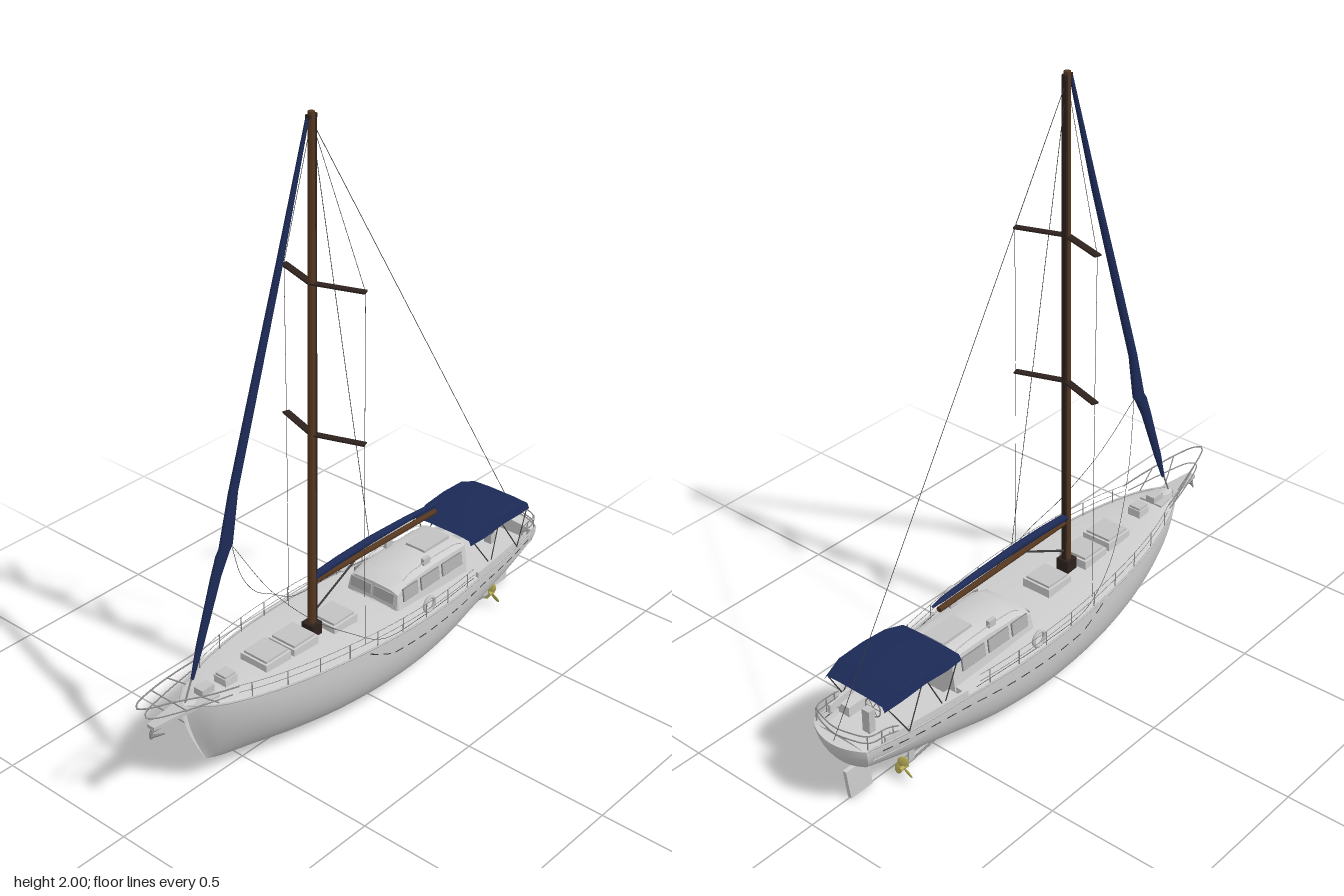
import * as THREE from 'three';
import { toCreasedNormals } from 'three/addons/utils/BufferGeometryUtils.js';

const V = (x, y, z) => new THREE.Vector3(x, y, z);
const mat = (name, color) => {
  const m = new THREE.MeshStandardMaterial({ color, side: THREE.DoubleSide });
  m.name = name;
  return m;
};

export function createModel() {
  const boat = new THREE.Group();
  boat.name = 'sailboat';
  const paint = mat('light grey paint', 0xcecece);
  const trim = mat('pale grey trim', 0xc2c2c2);
  const glass = mat('grey glass', 0xb0b0b0);
  const metal = mat('dull metal', 0x8c8c8c);
  const rope = mat('dark rope', 0x3c3c3c);
  const navy = mat('navy canvas', 0x1c2a56);
  const wood = mat('brown wood', 0x55371f);
  const dark = mat('dark wood', 0x2d221d);
  const brass = mat('brass', 0xb8ae58);

  const add = (name, geo, m, parent = boat) => {
    const mesh = new THREE.Mesh(geo, m);
    mesh.name = name;
    parent.add(mesh);
    return mesh;
  };
  const group = (name) => {
    const g = new THREE.Group();
    g.name = name;
    boat.add(g);
    return g;
  };
  const box = (name, m, w, h, d, x, y, z, parent) => {
    const b = add(name, new THREE.BoxGeometry(w, h, d), m, parent);
    b.position.set(x, y, z);
    return b;
  };
  // Straight round bars through a list of points
  const rod = (name, pts, r, m, parent, r2 = r, sides = 6) => {
    for (let i = 0; i < pts.length - 1; i++) {
      const d = pts[i + 1].clone().sub(pts[i]);
      const c = add(name, new THREE.CylinderGeometry(r2, r, d.length(), sides), m, parent);
      c.position.copy(pts[i]).addScaledVector(d, 0.5);
      c.quaternion.setFromUnitVectors(V(0, 1, 0), d.normalize());
    }
  };
  const pipe = (name, pts, r, m, parent) =>
    add(name, new THREE.TubeGeometry(new THREE.CatmullRomCurve3(pts), 40, r, 5), m, parent);
  // Surface through equal rows of points
  const grid = (rows, flip = false, crease = 0) => {
    const n = rows[0].length, idx = [];
    for (let i = 0; i < rows.length - 1; i++) for (let j = 0; j < n - 1; j++) {
      const a = i * n + j, b = a + n, c = a + 1, d = b + 1;
      idx.push(...(flip ? [a, c, b, b, c, d] : [a, b, c, b, d, c]));
    }
    const g = new THREE.BufferGeometry().setFromPoints(rows.flat());
    g.setIndex(idx);
    g.computeVertexNormals();
    return crease ? toCreasedNormals(g, crease) : g;
  };
  const both = (fn) => [1, -1].forEach(fn);

  // Hull stations: sheer x, y, half beam, then keel x, y, fullness
  const stations = [
    [-.74, .332, .012, -.655, .085, 1.5], [-.68, .325, .064, -.6, .065, 1.6],
    [-.55, .315, .12, -.47, .045, 1.9], [-.35, .302, .168, -.31, .028, 2.2],
    [-.1, .285, .196, -.1, .017, 2.5], [.12, .27, .2, .12, .014, 2.6],
    [.32, .258, .187, .32, .025, 2.5], [.5, .25, .164, .5, .055, 2.3],
    [.7, .243, .138, .68, .095, 2.2], [.87, .25, .11, .83, .135, 2.3]];
  const sheer = new THREE.CatmullRomCurve3(stations.map((s) => V(s[0], s[1], s[2])));
  const keel = new THREE.CatmullRomCurve3(stations.map((s) => V(s[3], s[4], s[5])));
  // Hull point at station t; a runs from -PI/2 to PI/2 across the section
  const hullPoint = (t, a) => {
    const s = sheer.getPoint(t), k = keel.getPoint(t), p = 2 / k.z;
    const up = Math.pow(Math.max(0, Math.cos(a)), p);
    return V(s.x + (k.x - s.x) * Math.pow(up, 1.6), s.y + (k.y - s.y) * up,
      Math.sign(a) * s.z * Math.pow(Math.abs(Math.sin(a)), p));
  };
  const tAt = (x) => {
    let lo = 0, hi = 1;
    for (let i = 0; i < 25; i++) sheer.getPoint((lo + hi) / 2).x < x ? lo = (lo + hi) / 2 : hi = (lo + hi) / 2;
    return lo;
  };
  const edge = (x, side, lift = 0, inset = .006) => {
    const p = sheer.getPoint(tAt(x));
    return V(p.x, p.y + lift, side * (p.z - inset));
  };
  const span = (n, f) => Array.from({ length: n + 1 }, (_, i) => f(i / n));
  add('hull', grid(span(54, (t) => span(32, (u) => hullPoint(t, (0.5 - u) * Math.PI))), true), paint);
  // Rounded transom
  add('transom', grid(span(12, (v) => {
    const p = hullPoint(1, (1 - v) * Math.PI / 2);
    return span(12, (u) => V(p.x + .038 * (p.z / .11) * (1 - (2 * u - 1) ** 2), p.y, p.z * (1 - 2 * u)));
  })), paint);
  // Cambered deck, stepping down into the cockpit
  const deckRow = (x, drop, k) => {
    const p = sheer.getPoint(tAt(x));
    return span(8, (u) => V(p.x, p.y - drop + (drop > .02 ? 0 : .01 * (1 - (2 * u - 1) ** 2)), p.z * k * (1 - 2 * u)));
  };
  add('deck', grid([...span(30, (u) => deckRow(-.738 + 1.218 * u, .006, 1)),
    ...span(10, (u) => deckRow(.481 + .364 * u, .045, .97)),
    deckRow(.846, .006, 1), deckRow(.87, .006, 1)], false, .6), paint);
  add('sternDeck', grid([0, 1].map((r) => span(10, (u) =>
    V(.868 + r * .038 * (1 - (2 * u - 1) ** 2), .244, .108 * (1 - 2 * u))))), paint);

  // Toe rails and dashed rubbing strakes
  both((s) => {
    pipe('toeRail', span(24, (u) => edge(-.735 + 1.6 * u, s, .002, 0)), .0035, trim);
    for (let x = -.12; x < .84; x += .06) {
      const a = (q) => s * (q < -.01 ? 1.56 + (q + .13) * -1.1 : 1.43);
      rod('rubbingStrake', [x, x + .035].map((q) => hullPoint(tAt(q), a(q))), .0018, rope);
    }
  });

  // Deck hatches
  const hatches = group('deckHatches');
  [[-.56, .05, .05], [-.385, .11, .11], [-.26, .11, .11], [-.075, .11, .11]].forEach(([x, w, d]) => {
    const y = sheer.getPoint(tAt(x)).y;
    box('hatchFrame', paint, w, .036, d, x, y + .012, 0, hatches);
    box('hatchLid', trim, w * .86, .008, d * .86, x, y + .034, 0, hatches);
  });

  // Cabin house
  const cabin = group('cabin');
  const house = [[.09, .262, .11], [.118, .278, .109], [.126, .338, .107], [.18, .359, .104], [.32, .366, .103], [.485, .362, .1]];
  const ring = ([x, top, w]) => [V(x, .235, w + .006), V(x, top - .014, w - .008), V(x, top - .003, w * .7),
    V(x, top, 0), V(x, top - .003, -w * .7), V(x, top - .014, -w + .008), V(x, .235, -w - .006)];
  const rear = ring(house[5]);
  add('cabinHouse', grid([...house.map((h) => ring(h)), rear.map((p) => V(p.x, .235, p.z))], false, .5), paint, cabin);
  both((s) => {
    [[.15, .07], [.24, .09], [.35, .1]].forEach(([x, w]) => {
      const f = box('windowFrame', metal, w + .004, .046, .004, x + w / 2, .318, s * .1045, cabin);
      const g = box('sideWindow', glass, w, .042, .005, x + w / 2, .318, s * .1052, cabin);
      f.rotation.x = g.rotation.x = -s * .12;
    });
    pipe('roofRail', [V(.17, .355, s * .085), V(.2, .368, s * .085), V(.44, .368, s * .085), V(.47, .358, s * .085)], .0018, trim, cabin);
    box('roofVent', trim, .03, .024, .014, .29, .374, s * .08, cabin);
    const ringBuoy = add('lifeRing', new THREE.TorusGeometry(.025, .006, 8, 20), trim, cabin);
    ringBuoy.position.set(.185, .302, s * .184);
    const screen = box('frontWindow', glass, .004, .036, .085, .1185, .311, s * .048, cabin);
    screen.rotation.z = -.13;
  });
  box('slidingHatch', trim, .13, .012, .08, .4, .367, 0, cabin);
  box('companionway', glass, .006, .1, .06, .487, .3, 0, cabin);

  // Cockpit
  const cockpit = group('cockpit');
  both((s) => {
    box('seat', paint, .26, .035, .045, .62, .222, s * .105, cockpit);
    box('coaming', paint, .32, .03, .01, .64, .25, s * .133, cockpit).rotation.y = s * .11;
  });
  box('pedestal', trim, .025, .08, .03, .75, .24, 0, cockpit);
  const wheel = add('steeringWheel', new THREE.TorusGeometry(.031, .0022, 6, 24), metal, cockpit);
  wheel.position.set(.73, .272, 0);
  wheel.rotation.y = Math.PI / 2;
  for (let i = 0; i < 3; i++) {
    const a = i * Math.PI / 3, y = .031 * Math.sin(a), z = .031 * Math.cos(a);
    rod('wheelSpoke', [V(.73, .272 + y, z), V(.73, .272 - y, -z)], .0015, metal, cockpit);
  }

  // Canvas canopy over the cockpit, with its frame
  const canopy = group('canopy');
  const across = [[-.134, -.034], [-.124, -.006], [-.06, 0], [.06, 0], [.124, -.006], [.134, -.034]];
  add('canopyCloth', grid([[.475, .38, .93], [.545, .4, 1], [.64, .408, 1], [.74, .404, 1], [.803, .38, .92]]
    .map(([x, y, k]) => across.map(([z, dy]) => V(x, y + dy * (k < 1 ? .6 : 1), z * k))), false, .25), navy, canopy);
  both((s) => {
    [[.57, .49, .368], [.57, .63, .38], [.72, .64, .38], [.72, .79, .365]].forEach(([a, b, y]) =>
      rod('canopyPole', [V(a, .25, s * .138), V(b, y, s * .122)], .002, rope, canopy));
  });

  // Guard rails and stern rail
  const rails = group('guardRails');
  both((s) => {
    for (let x = -.56; x < .45; x += .12) rod('stanchion', [edge(x, s), edge(x, s, .052)], .0018, metal, rails);
    [.028, .052].forEach((h) => pipe('lifeline', span(16, (u) => edge(-.6 + 1.04 * u, s, h)), .001, metal, rails));
    [.77, .81, .86].forEach((x) => rod('sternPost', [edge(x, s), edge(x, s, .048)], .002, metal, rails));
  });
  [.024, .048].forEach((h) => pipe('sternRail', [edge(.75, 1, h * .8), edge(.79, 1, h), edge(.855, 1, h), V(.88, .25 + h, .05),
    V(.888, .25 + h, 0), V(.88, .25 + h, -.05), edge(.855, -1, h), edge(.79, -1, h), edge(.75, -1, h * .8)], .0022, metal, rails));

  // Bow platform, pulpit and anchor
  const bow = group('bow');
  const plank = new THREE.Shape([[-.87, -.014], [-.63, -.045], [-.63, .045], [-.87, .014]].map((p) => new THREE.Vector2(...p)));
  const platform = add('bowPlatform', new THREE.ExtrudeGeometry(plank, { depth: .012, bevelEnabled: false }), trim, bow);
  platform.rotation.x = -Math.PI / 2;
  platform.position.y = .318;
  both((s) => {
    pipe('pulpitTopRail', [edge(-.6, s, .05), V(-.7, .385, s * .078), V(-.82, .408, s * .045), V(-.9, .417, s * .018), V(-.918, .418, 0)], .0026, metal, bow);
    pipe('pulpitLowRail', [edge(-.62, s, .025), V(-.75, .355, s * .058), V(-.87, .366, s * .018), V(-.885, .366, 0)], .0022, metal, bow);
    rod('pulpitLeg', [V(-.75, .33, s * .028), V(-.82, .408, s * .045)], .0022, metal, bow);
    rod('pulpitLeg', [V(-.66, .33, s * .07), V(-.73, .39, s * .07)], .0022, metal, bow);
    rod('anchorFluke', [V(-.87, .292, 0), V(-.84, .3, s * .028)], .006, metal, bow, .002);
  });
  rod('anchorShank', [V(-.72, .308, 0), V(-.87, .307, 0), V(-.87, .285, 0)], .005, metal, bow);
  box('windlass', trim, .05, .025, .035, -.65, .34, 0, bow);

  // Mast with its dark sail track, swept spreaders and boom
  const foot = V(-.176, .285, 0), head = V(-.155, 2, 0), top = V(-.155, 1.975, 0);
  rod('mast', [foot, head], .014, wood, boat, .0105, 12);
  const track = box('sailTrack', dark, .008, 1.7, .017, -.1535, 1.142, 0);
  track.rotation.z = -Math.atan2(.0175, 1.715);
  box('mastCollar', dark, .046, .045, .046, -.175, .315, 0);
  box('mastHead', dark, .036, .012, .014, -.155, 1.986, 0);
  [1.0, 1.49].forEach((y) => both((s) => {
    const sp = box('spreader', dark, .024, .005, .17, -.135, y, s * .079);
    sp.rotation.y = s * .33;
  }));
  rod('boom', [V(-.172, .48, 0), V(.435, .464, 0)], .0095, wood, boat, .0095, 10);
  rod('boomVang', [V(-.172, .365, 0), V(.04, .47, 0)], .0035, rope);

  // Furled sails, lofted through oval sections
  const oval = (f) => span(12, (u) => f(Math.cos(u * 2 * Math.PI), Math.sin(u * 2 * Math.PI)));
  add('mainsailCover', grid([[-.18, .497, .004, .004], [-.17, .498, .013, .012], [-.05, .504, .014, .013], [.1, .506, .014, .013],
    [.28, .501, .011, .011], [.42, .493, .008, .009], [.462, .489, .003, .004]]
    .map(([x, y, ry, rz]) => oval((c, s) => V(x, y + ry * c, rz * s)))), navy);
  add('furledJib', grid([[.4, -.704, -.69, .004], [.5, -.676, -.646, .009], [.7, -.607, -.564, .011], [.765, -.582, -.528, .012],
    [.785, -.568, -.513, .012], [.95, -.521, -.486, .012], [1.2, -.438, -.405, .011], [1.6, -.303, -.277, .009], [1.985, -.178, -.164, .005]]
    .map(([y, l, r, rz]) => oval((c, s) => V((l + r) / 2 + (r - l) / 2 * c, y, rz * s)))), navy);
  rod('forestay', [V(-.73, .335, 0), V(-.697, .41, 0)], .003, metal);

  // Standing and running rigging
  const rig = group('rigging');
  rod('backstay', [top, V(.895, .25, 0)], .001, rope, rig);
  rod('toppingLift', [top, V(.1, .515, 0)], .001, rope, rig);
  both((s) => {
    rod('shroud', [top, V(-.107, 1.49, s * .157), V(-.107, 1, s * .157), V(-.107, .29, s * .162)], .0008, rope, rig);
    pipe('jibSheet', [V(-.517, .78, 0), V(-.42, .6, s * .06), V(-.3, .46, s * .12), V(-.18, .37, s * .168),
      edge(-.05, s, .01, .012), edge(.15, s, .01, .01), edge(.45, s, .01, .01)], .0008, rope, rig);
  });

  // Rudder, shafts and three-bladed propellers
  const blade = new THREE.Shape([[.762, .112], [.86, .112], [.845, .003], [.755, .003]].map((p) => new THREE.Vector2(...p)));
  add('rudder', new THREE.ExtrudeGeometry(blade, { depth: .014, bevelEnabled: false }), paint).position.z = -.007;
  rod('rudderStock', [V(.8, .1, 0), V(.8, .15, 0)], .007, trim);
  both((s) => {
    const drive = group(s > 0 ? 'leftDrive' : 'rightDrive');
    rod('shaft', [V(.48, .075, s * .066), V(.685, .048, s * .066)], .004, metal, drive);
    box('shaftStrut', trim, .025, .07, .006, .645, .085, s * .066, drive);
    rod('propellerHub', [V(.664, .05, s * .066), V(.695, .047, s * .066)], .009, brass, drive, .006, 10);
    for (let i = 0; i < 3; i++) {
      const a = i * 2 * Math.PI / 3;
      const b = add('propellerBlade', new THREE.SphereGeometry(1, 12, 8), brass, drive);
      b.scale.set(.004, .02, .018);
      b.rotation.set(a, .5, 0);
      b.position.set(.68, .048 + .022 * Math.cos(a), s * .066 + .022 * Math.sin(a));
    }
  });
  return boat;
}
